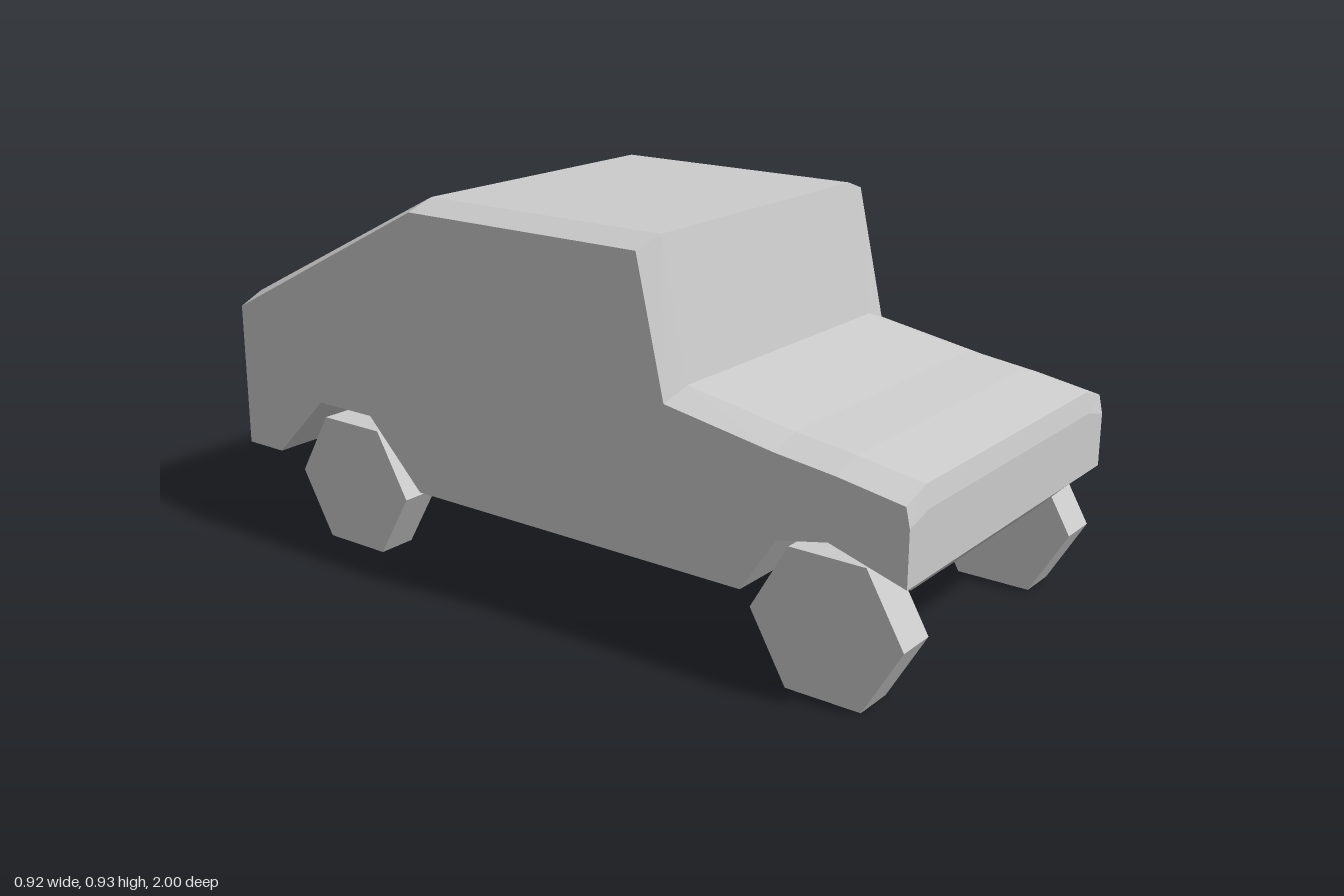
import * as THREE from 'three';

const grey = new THREE.MeshStandardMaterial({ color: 0xcccccc });
grey.name = 'plain grey';

// Upper outline, front to rear: [z, y] on the middle, then [z, y] on the outer edge
const upper = [
  [1, 0.31, 1, 0.31], [1, 0.46, 1, 0.44], [0.99, 0.51, 0.99, 0.485],
  [0.83, 0.537, 0.83, 0.512], [0.68, 0.556, 0.68, 0.531], [0.402, 0.605, 0.395, 0.58],
  [0.33, 0.93, 0.32, 0.905], [-0.355, 0.93, -0.355, 0.905],
  [-1, 0.605, -0.987, 0.58], [-1, 0.205, -0.987, 0.205],
];
// Underside, rear to front
const rearArch = [[-0.865, 0.205], [-0.70, 0.37], [-0.52, 0.37], [-0.355, 0.205], [0.60, 0.205]];
const frontArch = [[0.69, 0.34], [0.815, 0.366]];
const chin = [[0.92, 0.23]];

const inner = upper.map(p => [p[0], p[1]]);
const outer = upper.map(p => [p[2], p[3]]);
const middleLoop = [...inner, ...rearArch, ...chin];
const sideLoop = [...inner, ...rearArch, ...frontArch];
const edgeLoop = [...outer, ...rearArch, ...frontArch];

const W = 0.462, BEVEL = 0.385, WELL = 0.295;

function part(name, positions) {
  const g = new THREE.BufferGeometry();
  g.setAttribute('position', new THREE.Float32BufferAttribute(positions, 3));
  g.computeVertexNormals(); // unshared corners give flat faces
  const m = new THREE.Mesh(g, grey);
  m.name = name;
  return m;
}

// Skin between two [z, y] loops at xa < xb
function skin(name, a, xa, b, xb) {
  const out = [];
  a.forEach((p, i) => {
    const j = (i + 1) % a.length;
    const A = [xa, p[1], p[0]], A2 = [xa, a[j][1], a[j][0]];
    const B = [xb, b[i][1], b[i][0]], B2 = [xb, b[j][1], b[j][0]];
    out.push(...A, ...B, ...B2, ...A, ...B2, ...A2);
  });
  return part(name, out);
}

// Flat wall at x, facing away from the middle
function wall(name, loop, x) {
  const pts = loop.map(p => new THREE.Vector2(p[0], p[1]));
  const out = [];
  for (const tri of THREE.ShapeUtils.triangulateShape(pts, [])) {
    const t = tri.map(i => pts[i]);
    const ccw = THREE.ShapeUtils.area(t) > 0;
    if (ccw === x > 0) t.reverse();
    t.forEach(p => out.push(x, p.y, p.x));
  }
  return part(name, out);
}

export function createModel() {
  const model = new THREE.Group();
  model.name = 'car';

  const body = new THREE.Group();
  body.name = 'body';
  body.add(skin('bodyMiddle', middleLoop, -WELL, middleLoop, WELL));
  body.add(skin('leftBodySide', sideLoop, WELL, sideLoop, BEVEL));
  body.add(skin('rightBodySide', sideLoop, -BEVEL, sideLoop, -WELL));
  body.add(skin('leftBevel', sideLoop, BEVEL, edgeLoop, W));
  body.add(skin('rightBevel', edgeLoop, -W, sideLoop, -BEVEL));

  const wellLoop = [[0.60, 0.205], ...chin, [1, 0.31], ...frontArch.slice().reverse()];
  for (const s of [1, -1]) {
    const side = s > 0 ? 'left' : 'right';
    body.add(wall(side + 'SidePanel', edgeLoop, s * W));
    body.add(wall(side + 'WheelWell', wellLoop, s * WELL));
  }
  model.add(body);

  // Six-sided wheels, flat on the ground
  const R = 0.188;
  const wheelGeo = new THREE.CylinderGeometry(R, R, 0.102, 6).toNonIndexed();
  wheelGeo.computeVertexNormals();
  wheelGeo.rotateZ(Math.PI / 2);
  for (const [end, z] of [['front', 0.803], ['rear', -0.61]]) {
    for (const s of [1, -1]) {
      const wheel = new THREE.Mesh(wheelGeo, grey);
      wheel.name = end + (s > 0 ? 'Left' : 'Right') + 'Wheel';
      wheel.position.set(s * 0.394, R * Math.sqrt(3) / 2, z);
      model.add(wheel);
    }
  }
  return model;
}
